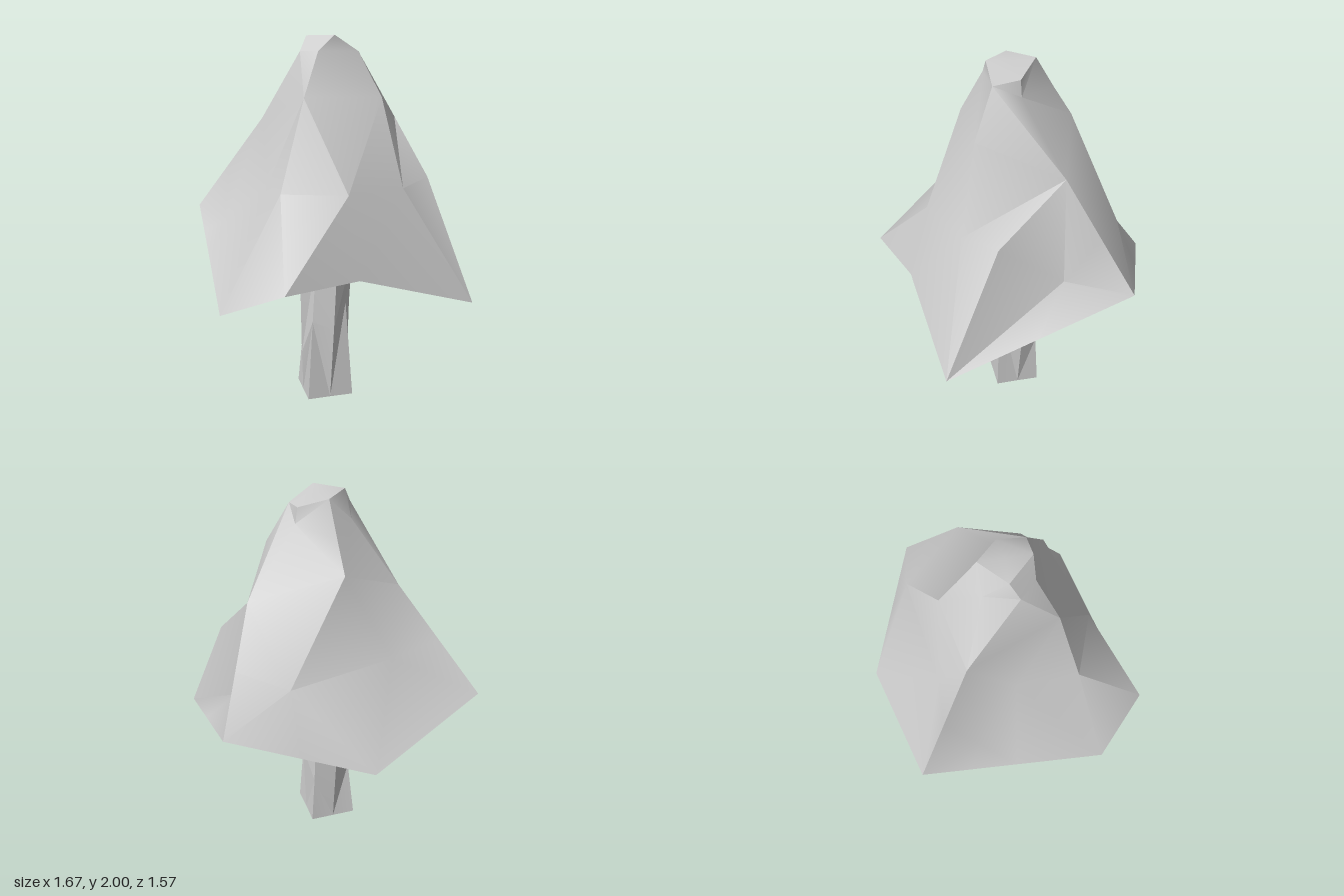
import * as THREE from 'three';
import { toCreasedNormals } from 'three/addons/utils/BufferGeometryUtils.js';

const P = (x, y, z) => new THREE.Vector3(x, y, z);

// Skins rings of equal length (bottom to top, running from +x towards +z) and
// closes both ends with fans. folds has one string per layer: '/' creases the
// quad from its lower first corner, '.' from its upper first corner.
function loft(rings, folds, bottom, top, crease) {
  const out = [];
  const tri = (a, b, c) => {
    const area = b.clone().sub(a).cross(c.clone().sub(a)).length();
    if (area > 1e-6) for (const v of [a, b, c]) out.push(v.x, v.y, v.z);
  };
  const n = rings[0].length;
  for (let r = 0; r < rings.length - 1; r++) {
    for (let i = 0; i < n; i++) {
      const j = (i + 1) % n;
      const a = rings[r][i], b = rings[r][j];
      const c = rings[r + 1][i], d = rings[r + 1][j];
      if (folds[r][i] === '/') {
        tri(a, c, d);
        tri(a, d, b);
      } else {
        tri(a, c, b);
        tri(b, c, d);
      }
    }
  }
  const last = rings[rings.length - 1];
  for (let i = 0; i < n; i++) {
    const j = (i + 1) % n;
    tri(bottom, rings[0][i], rings[0][j]);
    tri(top, last[j], last[i]);
  }
  const geo = new THREE.BufferGeometry();
  geo.setAttribute('position', new THREE.Float32BufferAttribute(out, 3));
  return toCreasedNormals(geo, crease);
}

export function createModel() {
  const tree = new THREE.Group();
  tree.name = 'tree';
  const material = new THREE.MeshStandardMaterial({ color: 0xcccccc });

  // Crown rim: ragged lower edge, its underside fanned from the back corner
  const backCorner = P(0.28, 1.01, -0.79);
  const rim = [
    P(0.83, 0.63, -0.03), P(0.36, 0.83, 0.43), P(0.12, 0.83, 0.78),
    P(-0.25, 0.67, 0.73), P(-0.54, 0.82, 0.33), P(-0.69, 0.92, 0.13),
    P(-0.84, 1.02, -0.07), P(-0.43, 0.83, -0.62), P(-0.075, 0.92, -0.705),
    backCorner, P(0.555, 0.82, -0.41),
  ];
  // Folded skirt
  const skirt = [
    P(0.53, 1.26, -0.18), P(0.46, 1.23, 0.05), P(0.27, 1.23, 0.35),
    P(-0.055, 1.23, 0.44), P(-0.25, 1.23, 0.18), P(-0.56, 0.99, 0.12),
    P(-0.61, 1.29, -0.045), P(-0.4, 1.23, -0.19), P(0, 1.23, -0.6),
    P(0.275, 1.285, -0.6), P(0.35, 1.04, -0.45),
  ];
  // Shoulder, where several folds meet in shared points
  const side = P(0.33, 1.69, 0.03), front = P(0, 1.69, 0.27);
  const left = P(-0.38, 1.56, -0.02), back = P(-0.17, 1.69, -0.27);
  const hump = P(0.27, 1.56, -0.41);
  const shoulder = [hump, side, side, front, left, left, left, back, back, hump, hump];
  // Neck
  const neckSide = P(0.19, 1.92, 0), neckFront = P(-0.09, 1.92, 0.11);
  const neckRidge = P(-0.11, 1.84, -0.195), neckBack = P(0.12, 1.86, -0.12);
  const neck = [neckBack, neckSide, neckSide, P(0.02, 1.92, 0.13), neckFront, neckFront,
    P(-0.14, 1.89, -0.05), neckRidge, neckRidge, neckBack, neckBack];
  // Flat tip with one lowered corner
  const tipA = P(0.09, 2, 0.08), tipB = P(-0.08, 2, 0.05);
  const tipC = P(-0.05, 2, -0.12), tipD = P(0.11, 1.94, -0.11);
  const tip = [tipD, tipA, tipA, tipA, tipB, tipB, tipB, tipC, tipC, tipD, tipD];

  const crownFolds = ['/////.//./.', '../...../..', '/.//..../..', '....../....'];
  const crown = new THREE.Mesh(
    loft([rim, skirt, shoulder, neck, tip], crownFolds, backCorner, P(0.02, 2, -0.02), 0.6),
    material);
  crown.name = 'crown';
  tree.add(crown);

  // Trunk: diamond foot, pinched and chipped middle, top hidden in the crown
  const foot = [
    P(0.175, 0, 0), P(0.07, 0, 0.08), P(-0.03, 0, 0.16), P(-0.11, 0, 0.05),
    P(-0.19, 0, -0.06), P(-0.08, 0, -0.13), P(0.03, 0, -0.2), P(0.1, 0, -0.1),
  ];
  const middle = [
    P(0.13, 0.55, 0), P(0.1, 0.42, 0.1), P(-0.02, 0.45, 0.12), P(-0.1, 0.25, 0.09),
    P(-0.14, 0.33, -0.02), P(-0.1, 0.45, -0.13), P(0.02, 0.3, -0.18), P(0.1, 0.5, -0.14),
  ];
  const head = [
    P(0.17, 0.85, 0), P(0.12, 0.85, 0.1), P(0, 0.85, 0.11), P(-0.1, 0.85, 0.11),
    P(-0.15, 0.85, 0), P(-0.1, 0.85, -0.13), P(0, 0.85, -0.17), P(0.12, 0.85, -0.14),
  ];
  const trunk = new THREE.Mesh(
    loft([foot, middle, head], ['././././', './././..'], P(0, 0, 0), P(0, 0.85, 0), 0.2),
    material);
  trunk.name = 'trunk';
  tree.add(trunk);

  return tree;
}
